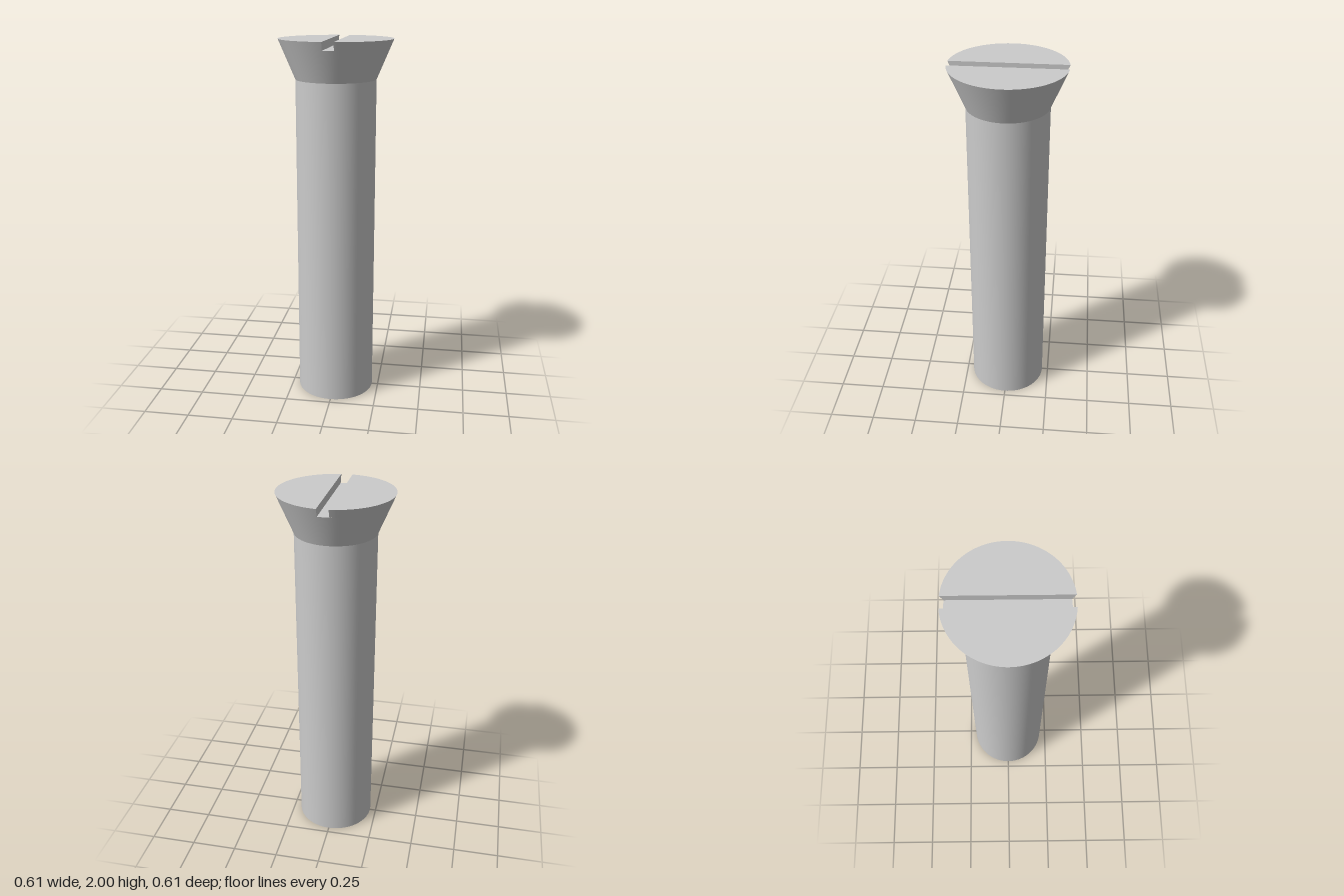
import * as THREE from 'three';

const SHAFT_R = 0.215, HEAD_R = 0.304;
const HEAD_Y = 1.79, FLOOR_Y = 1.957, TOP_Y = 2;
const SLOT = { right: 0.033, left: -0.027 };
const SLOPE = (HEAD_R - SHAFT_R) / (TOP_Y - HEAD_Y);
const radiusAt = y => SHAFT_R + (y - HEAD_Y) * SLOPE;
const SEGMENTS = 96;

// Remaps a flat grid with a rule (u, v) -> [x, y, z]
function patch(segments, rule) {
  const g = new THREE.PlaneGeometry(1, 1, segments, 1);
  const p = g.attributes.position;
  for (let i = 0; i < p.count; i++) p.setXYZ(i, ...rule(p.getX(i) + 0.5, p.getY(i) + 0.5));
  g.computeVertexNormals();
  return g;
}

// Turns a 2D outline into a face looking up at height y
function levelFace(shape, y) {
  return new THREE.ShapeGeometry(shape, SEGMENTS).rotateX(-Math.PI / 2).translate(0, y, 0);
}

export function createModel() {
  const group = new THREE.Group();
  const material = new THREE.MeshStandardMaterial({ color: 0xcccccc });
  const add = (name, geometry, parent = group) => {
    const mesh = new THREE.Mesh(geometry, material);
    mesh.name = name;
    parent.add(mesh);
  };

  // Plain shaft with a flat end
  add('shaft', new THREE.CylinderGeometry(SHAFT_R, SHAFT_R, HEAD_Y, SEGMENTS, 1, true).translate(0, HEAD_Y / 2, 0));
  add('shaftEnd', new THREE.CircleGeometry(SHAFT_R, SEGMENTS).rotateX(Math.PI / 2));

  // Countersunk head below the slot
  const floorR = radiusAt(FLOOR_Y);
  add('headCone', new THREE.CylinderGeometry(floorR, SHAFT_R, FLOOR_Y - HEAD_Y, SEGMENTS, 1, true)
    .translate(0, (FLOOR_Y + HEAD_Y) / 2, 0));

  // Slot floor, with rounded ends following the cone
  const a = Math.acos(SLOT.right / floorR), b = Math.acos(SLOT.left / floorR);
  const floor = new THREE.Shape();
  floor.absarc(0, 0, floorR, a, b, false);
  floor.absarc(0, 0, floorR, -b, -a, false);
  add('slotFloor', levelFace(floor, FLOOR_Y));

  // The two head halves either side of the slot
  for (const side of ['right', 'left']) {
    const x = SLOT[side], isRight = side === 'right';
    const half = new THREE.Group();
    half.name = isRight ? 'headHalfPlusX' : 'headHalfMinusX';
    group.add(half);

    const range = r => {
      const t = Math.acos(x / r);
      return isRight ? [-t, t] : [t, 2 * Math.PI - t];
    };
    const heightAt = v => THREE.MathUtils.lerp(FLOOR_Y, TOP_Y, v);

    // Sloped rim, with exact cone normals
    const rim = patch(SEGMENTS / 2, (u, v) => {
      const y = heightAt(v), r = radiusAt(y);
      const t = THREE.MathUtils.lerp(...range(r), u);
      return [r * Math.cos(t), y, -r * Math.sin(t)];
    });
    const p = rim.attributes.position, n = new THREE.Vector3();
    for (let i = 0; i < p.count; i++) {
      n.set(p.getX(i), 0, p.getZ(i)).normalize().setY(-SLOPE).normalize();
      rim.attributes.normal.setXYZ(i, n.x, n.y, n.z);
    }
    add('rim', rim, half);

    // Slot wall
    add('slotWall', patch(1, (u, v) => {
      const y = heightAt(v), reach = Math.sqrt(radiusAt(y) ** 2 - x * x);
      return [x, y, (isRight ? 1 : -1) * (2 * u - 1) * reach];
    }), half);

    // Flat top
    const cap = new THREE.Shape();
    cap.absarc(0, 0, HEAD_R, ...range(HEAD_R), false);
    add('topFace', levelFace(cap, TOP_Y), half);
  }
  return group;
}
